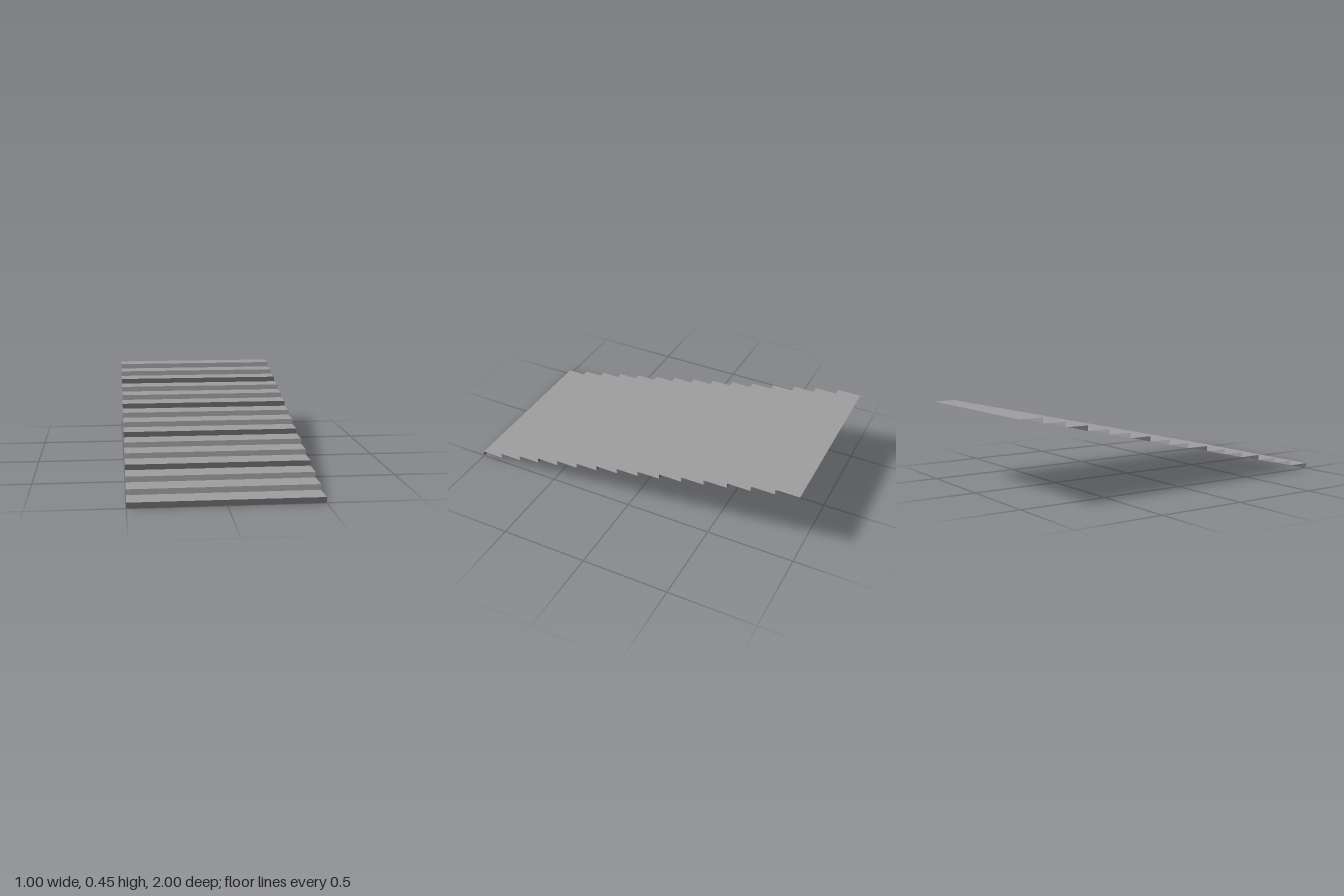
import * as THREE from 'three';

const STEPS = 15, WIDTH = 1, LENGTH = 2, RISE = 0.03;
const RUN = LENGTH / STEPS;

export function createModel() {
  const group = new THREE.Group();
  group.name = 'staircase';

  const lightGrey = new THREE.MeshStandardMaterial({ color: 0x9c9c9c, side: THREE.DoubleSide, flatShading: true });
  lightGrey.name = 'light grey';
  const darkGrey = new THREE.MeshStandardMaterial({ color: 0x666666, side: THREE.DoubleSide, flatShading: true });
  darkGrey.name = 'dark grey';

  // Thin sheets: treads face up, risers face the front
  const treadGeometry = new THREE.PlaneGeometry(WIDTH, RUN).rotateX(-Math.PI / 2);
  const riserGeometry = new THREE.PlaneGeometry(WIDTH, RISE);

  for (let i = 0; i < STEPS; i++) {
    const frontZ = LENGTH / 2 - i * RUN;

    // Every third riser is dark, starting from the lowest
    const riser = new THREE.Mesh(riserGeometry, i % 3 === 0 ? darkGrey : lightGrey);
    riser.name = `riser${i + 1}`;
    riser.position.set(0, (i + 0.5) * RISE, frontZ);

    const tread = new THREE.Mesh(treadGeometry, lightGrey);
    tread.name = `tread${i + 1}`;
    tread.position.set(0, (i + 1) * RISE, frontZ - RUN / 2);

    group.add(riser, tread);
  }
  return group;
}
